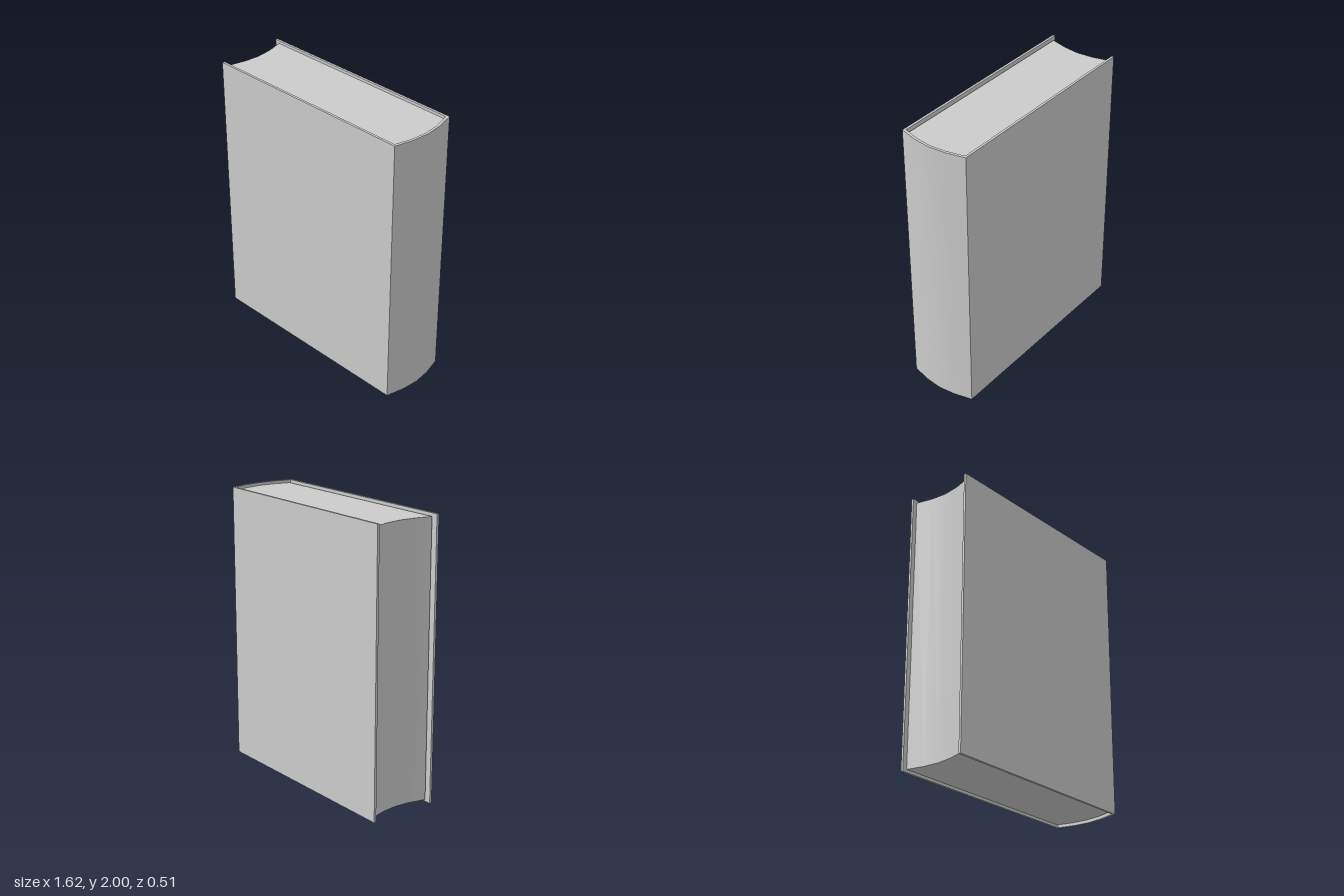
import * as THREE from 'three';
import { toCreasedNormals } from 'three/addons/utils/BufferGeometryUtils.js';

const material = new THREE.MeshStandardMaterial({ color: 0xcccccc });

// Extrude an [x, z] outline upwards from y0 to y1, smooth on the shallow curves
function upright(name, outline, y0, y1) {
  const shape = new THREE.Shape(outline.map(([x, z]) => new THREE.Vector2(x, -z)));
  const geometry = new THREE.ExtrudeGeometry(shape, { depth: y1 - y0, bevelEnabled: false });
  geometry.rotateX(-Math.PI / 2).translate(0, y0, 0);
  const mesh = new THREE.Mesh(toCreasedNormals(geometry, 0.6), material);
  mesh.name = name;
  return mesh;
}

// Four-segment bow from z0 to z1, starting at x and bulging by `bulge`
function bow(x, bulge, z0, z1) {
  return [0, 0.26, 0.5, 0.74, 1].map((t) => [
    x + bulge * Math.sin(Math.PI * t),
    z0 + (z1 - z0) * t,
  ]);
}

export function createModel() {
  const book = new THREE.Group();
  book.name = 'book';

  // Cover: two flat boards joined by a rounded spine
  const edge = -0.808, outer = 0.255, inner = 0.238;
  book.add(upright('cover', [
    [edge, outer],
    ...bow(0.762, 0.046, outer, -outer),
    [edge, -outer],
    [edge, -inner],
    ...bow(0.746, 0.044, -inner, inner),
    [edge, inner],
  ], 0, 2));

  // Page block: rounded at the spine, hollow at the fore edge, set in at top and bottom
  const back = -0.2375, front = 0.226;
  book.add(upright('pages', [
    ...bow(0.741, 0.043, front, back),
    ...bow(-0.775, 0.043, back, front),
  ], 0.02, 1.98));

  return book;
}
